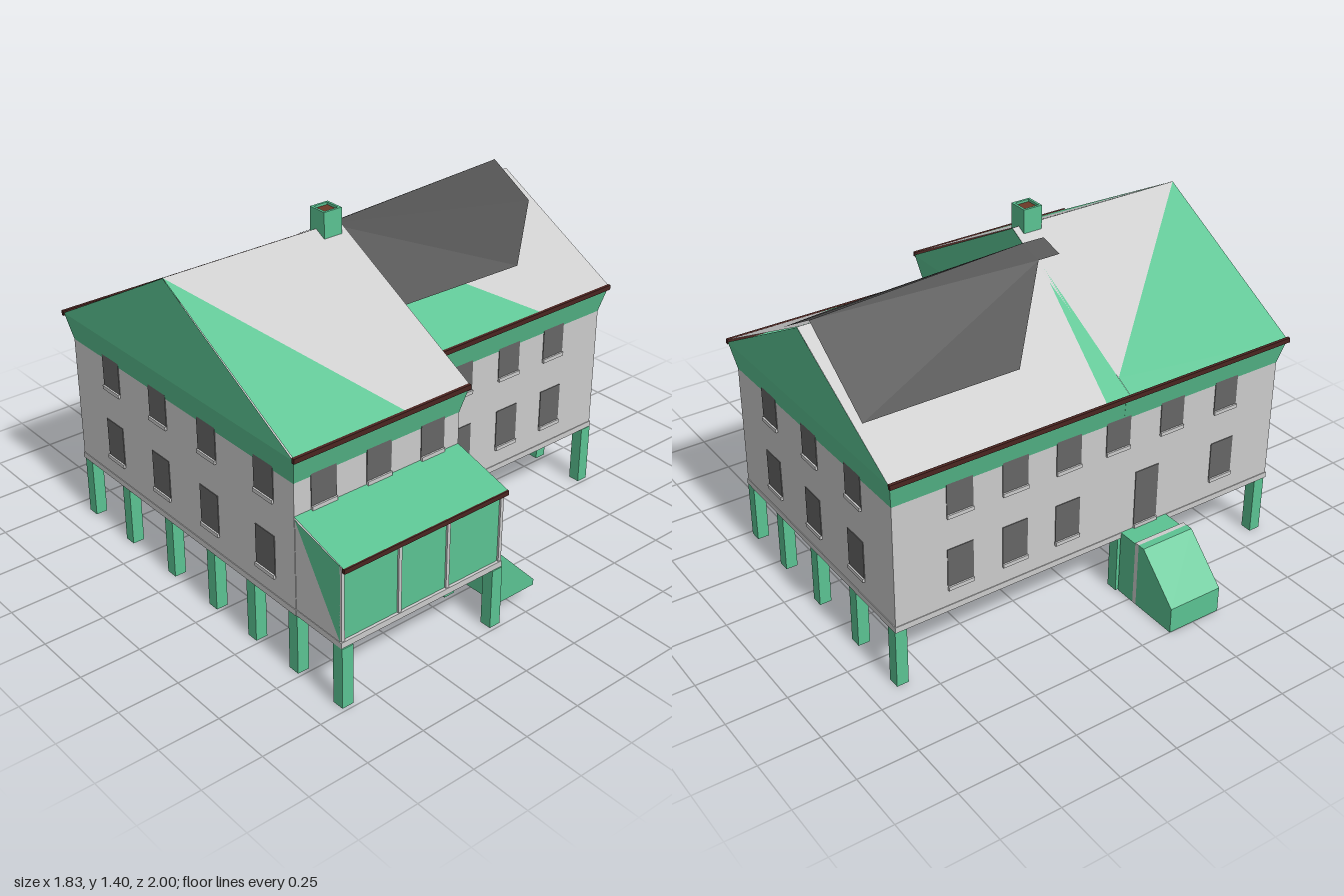
import * as THREE from 'three';

const GREY = 0xcccccc, GREEN = 0x5bc392, DARK = 0x4d4d4d, PANE = 0x666666, TRIM = 0x4a2420;

export function createModel() {
  const root = new THREE.Group();
  const mats = {};
  const mat = (c) => (mats[c] ??= new THREE.MeshStandardMaterial({ color: c, flatShading: true, side: THREE.DoubleSide }));

  const add = (name, color, geo) => {
    const m = new THREE.Mesh(geo, mat(color));
    m.name = name;
    root.add(m);
    return m;
  };

  // Box given by its min and max on each axis
  const box = (name, color, x0, x1, y0, y1, z0, z1) =>
    add(name, color, new THREE.BoxGeometry(x1 - x0, y1 - y0, z1 - z0))
      .position.set((x0 + x1) / 2, (y0 + y1) / 2, (z0 + z1) / 2);

  // Flat polygon, fanned from its first corner
  const poly = (name, color, pts) => {
    const g = new THREE.BufferGeometry().setFromPoints(pts.map((p) => new THREE.Vector3(...p)));
    const idx = [];
    for (let i = 1; i < pts.length - 1; i++) idx.push(0, i, i + 1);
    g.setIndex(idx);
    g.computeVertexNormals();
    add(name, color, g);
  };

  // Roof planes: height as a function of z
  const leftFront = (z) => 0.92 + (0.76 - z) * 0.544;
  const rightFront = (z) => 0.92 + (0.51 - z) * 0.541;
  const back = (z) => 0.91 + (z + 0.71) * 0.557;
  const roof = (name, color, plane, xz, lift = 0) =>
    poly(name, color, xz.map(([x, z]) => [x, plane(z) + lift, z]));

  // Wing: straight walls, a flared band under the eaves, and two gables
  const wing = (name, x0, x1, z0, z1, ridgeY, ridgeZ, e0, e1) => {
    box(name + 'Walls', GREY, x0, x1, 0.27, 0.8, z0, z1);
    box(name + 'FloorSlab', GREY, x0 - 0.003, x1 + 0.003, 0.255, 0.28, z0 - 0.003, z1 + 0.003);
    const low = [[x0, z0], [x1, z0], [x1, z1], [x0, z1]];
    const high = [[e0, z0 - 0.03], [e1, z0 - 0.03], [e1, z1 + 0.03], [e0, z1 + 0.03]];
    for (let i = 0; i < 4; i++) {
      const j = (i + 1) % 4;
      poly(name + 'EaveBand', GREEN, [[low[i], 0.8], [low[j], 0.8], [high[j], 0.912], [high[i], 0.912]]
        .map(([p, y]) => [p[0], y, p[1]]));
    }
    for (const x of [e0, e1]) {
      poly(name + 'Gable', GREEN, [[x, 0.91, z1 + 0.03], [x, 0.91, z0 - 0.03], [x, ridgeY, ridgeZ]]);
    }
  };
  wing('leftWing', -0.89, -0.125, -0.68, 0.73, 1.318, 0.025, -0.91, -0.105);
  wing('rightWing', -0.125, 0.89, -0.68, 0.48, 1.248, -0.1, -0.104, 0.91);

  // Left wing roof
  roof('leftRoofFrontGreen', GREEN, leftFront, [[-0.91, 0.025], [-0.91, 0.76], [-0.41, 0.76]]);
  roof('leftRoofFront', GREY, leftFront, [[-0.91, 0.025], [-0.41, 0.76], [-0.105, 0.76], [-0.105, 0.025]]);
  roof('leftRoofBackGreen', GREEN, back, [[-0.91, -0.71], [-0.91, 0.025], [-0.13, -0.63], [-0.13, -0.71]]);
  roof('leftRoofBack', GREY, back, [[-0.13, -0.63], [-0.91, 0.025], [-0.105, 0.025], [-0.105, -0.13], [-0.125, -0.13]]);

  // Right wing roof
  roof('valleyGreen', GREEN, back, [[-0.125, -0.13], [-0.13, -0.71], [-0.02, -0.71]]);
  roof('rightRoofBack', GREY, back, [[-0.125, -0.13], [-0.02, -0.71], [0.91, -0.71], [0.91, -0.1], [-0.105, -0.1]]);
  roof('rightRoofFrontGreen', GREEN, rightFront, [[-0.105, 0.51], [-0.105, -0.1], [0.1, 0.1], [0.52, 0.5], [0.52, 0.51]]);
  roof('rightRoofFront', GREY, rightFront, [[-0.105, -0.1], [0.91, -0.1], [0.91, 0.51], [0.52, 0.51], [0.52, 0.5]]);

  // Dark roof covering, lifted along its ridge
  const front = (x, z) => [x, rightFront(z) + 0.006, z], rear = (x, z) => [x, back(z) + 0.006, z];
  const ridgeL = [-0.104, 1.285, -0.05], ridgeR = [0.88, 1.285, -0.14];
  poly('darkRoofFront', DARK, [ridgeL, front(-0.104, 0.3), front(0.58, 0.31), front(0.88, 0.07), ridgeR]);
  poly('darkRoofBack', DARK, [rear(-0.12, -0.13), rear(0.22, -0.49), rear(0.88, -0.49), ridgeR, ridgeL,
    rear(-0.2, -0.05), rear(-0.22, -0.13)]);

  // Gutters
  box('gutter', TRIM, -0.915, -0.105, 0.903, 0.923, 0.755, 0.768);
  box('gutter', TRIM, -0.105, 0.913, 0.903, 0.923, 0.505, 0.518);
  box('gutter', TRIM, -0.915, 0.913, 0.9, 0.92, -0.718, -0.705);

  // Chimney with an open flue
  const stack = new THREE.Shape([[-0.22, -0.01], [-0.135, -0.01], [-0.135, 0.075], [-0.22, 0.075]]
    .map((p) => new THREE.Vector2(p[0], -p[1])));
  stack.holes.push(new THREE.Path([[-0.21, 0], [-0.145, 0], [-0.145, 0.065], [-0.21, 0.065]]
    .map((p) => new THREE.Vector2(p[0], -p[1]))));
  const stackGeo = new THREE.ExtrudeGeometry(stack, { depth: 0.15, bevelEnabled: false });
  add('chimney', GREEN, stackGeo.rotateX(-Math.PI / 2).translate(0, 1.25, 0));
  box('flue', 0x6b3a28, -0.212, -0.143, 1.25, 1.39, -0.002, 0.067);

  // Windows: wall axis, wall coordinate, outward sign, centres, bottom and top
  const windows = (axis, wall, out, centres, y0, y1, name = 'window') => {
    for (const c of centres) {
      const slab = (part, color, half, lo, hi, depth) => {
        const a = Math.min(wall, wall + out * depth), b = Math.max(wall, wall + out * depth);
        if (axis === 'z') box(part, color, c - half, c + half, lo, hi, a, b);
        else box(part, color, a, b, lo, hi, c - half, c + half);
      };
      slab(name, PANE, 0.056, y0, y1, 0.003);
      slab(name + 'Sill', GREY, 0.056, y0 - 0.004, y0 + 0.012, 0.01);
    }
  };
  const rows = [[0.67, 0.835], [0.355, 0.53]];
  for (const [lo, hi] of rows) {
    windows('z', 0.48, 1, [0.125, 0.38, 0.63], lo, hi);
    windows('x', 0.89, 1, [0.22, -0.095, -0.415], lo, hi);
    windows('x', -0.89, -1, [0.56, 0.22, -0.095, -0.415], lo, hi);
    windows('x', -0.125, 1, [0.605], lo, hi + 0.02);
  }
  windows('z', 0.73, 1, [-0.76, -0.51, -0.255], 0.67, 0.835);
  windows('z', -0.68, -1, [0.61, 0.37, 0.13, -0.1, -0.36, -0.63], 0.67, 0.835);
  windows('z', -0.68, -1, [0.61, 0.37, 0.13, -0.63], 0.355, 0.53);
  windows('z', -0.68, -1, [-0.25], 0.285, 0.54, 'backDoor');

  // Enclosed porch
  box('porchFloor', GREY, -0.89, -0.125, 0.255, 0.28, 0.73, 0.98);
  box('porchFront', GREEN, -0.885, -0.13, 0.28, 0.59, 0.96, 0.968);
  for (const x of [-0.878, -0.62, -0.393, -0.132]) box('porchPost', GREY, x - 0.007, x + 0.007, 0.28, 0.59, 0.96, 0.976);
  for (const x of [-0.888, -0.127]) {
    poly('porchSide', GREY, [[x, 0.28, 0.97], [x, 0.28, 0.73], [x, 0.655, 0.73]]);
    poly('porchSideGreen', GREEN, [[x, 0.28, 0.97], [x, 0.655, 0.73], [x, 0.595, 0.97]]);
  }
  poly('porchRoof', GREEN, [[-0.89, 0.592, 1], [-0.125, 0.592, 1], [-0.125, 0.668, 0.73], [-0.89, 0.668, 0.73]]);
  box('porchGutter', TRIM, -0.89, -0.125, 0.575, 0.594, 0.985, 1);

  // Solid stair blocks, extruded from their side profile
  const stair = (name, profile, width) => add(name, GREEN, new THREE.ExtrudeGeometry(
    new THREE.Shape(profile.map((p) => new THREE.Vector2(...p))), { depth: width, bevelEnabled: false }));
  stair('porchStairs', [[-0.125, 0.075], [0.07, 0.075], [0.07, 0.1], [-0.115, 0.295], [-0.125, 0.295]], 0.235)
    .position.z = 0.73;
  const backStairs = stair('backStairs', [[0.79, 0], [1, 0], [1, 0.11], [0.82, 0.285], [0.79, 0.285]], 0.24);
  backStairs.rotation.y = Math.PI / 2;
  backStairs.position.x = -0.375;
  backStairs.position.z = 0;
  box('backLanding', GREEN, -0.36, -0.135, 0, 0.28, -0.77, -0.68);
  box('backLandingEdge', GREY, -0.375, -0.135, 0, 0.285, -0.79, -0.77);

  // Stilts: three rows, the right one shorter
  const stiltZ = [-0.65, -0.37, -0.07, 0.21, 0.46, 0.71, 0.96];
  for (const [x, n] of [[-0.865, 7], [-0.15, 7], [0.865, 5]]) {
    for (const z of stiltZ.slice(0, n)) box('stilt', GREEN, x - 0.025, x + 0.025, 0, 0.256, z - 0.025, z + 0.025);
  }
  return root;
}
